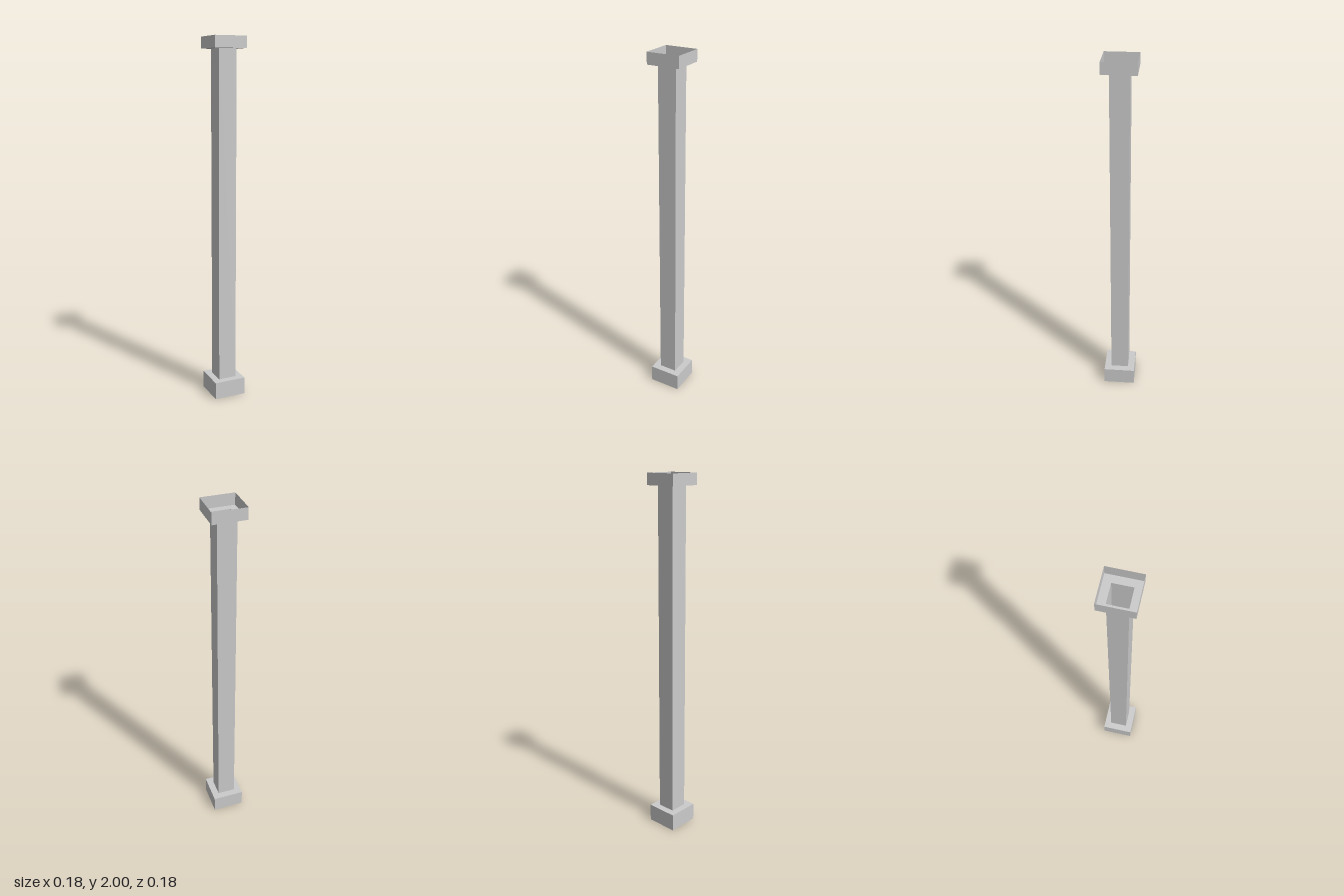
import * as THREE from 'three';

const material = new THREE.MeshStandardMaterial({
  color: 0xcccccc, flatShading: true, side: THREE.DoubleSide,
});

// Open square shell: a four-sided lathe of [half width, height] points, listed bottom to top
function squareShell(name, profile) {
  const points = profile.map(([half, y]) => new THREE.Vector2(half * Math.SQRT2, y));
  const geometry = new THREE.LatheGeometry(points, 4, Math.PI / 4).toNonIndexed();
  geometry.computeVertexNormals();
  const mesh = new THREE.Mesh(geometry, material);
  mesh.name = name;
  return mesh;
}

export function createModel() {
  const outer = 0.09, inner = 0.051;
  const baseTop = 0.098, capBottom = 1.938, height = 2;

  const column = new THREE.Group();
  column.name = 'column';
  column.add(
    // Base: open underneath, with a ledge around the shaft
    squareShell('base', [[outer, 0], [outer, baseTop], [inner, baseTop]]),
    // Hollow shaft, open at both ends
    squareShell('shaft', [[inner, baseTop], [inner, capBottom]]),
    // Cap: open on top, with a ledge under its walls
    squareShell('cap', [[inner, capBottom], [outer, capBottom], [outer, height]]),
  );
  return column;
}
